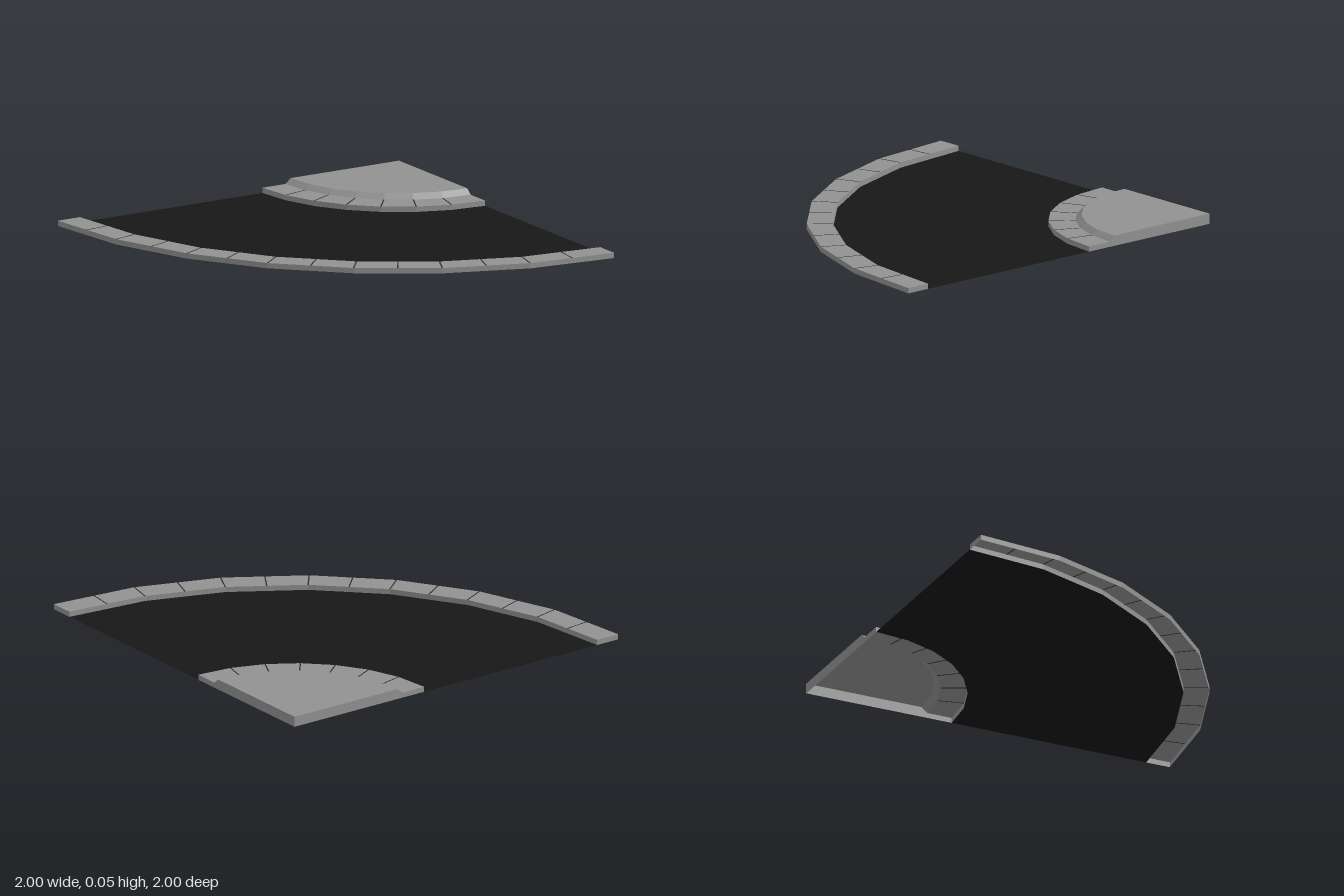
import * as THREE from 'three';

const SEGMENTS = 7;
const KERB = 0.027; // kerb height
const TOP = 0.053; // pavement height

const material = (color) =>
  new THREE.MeshStandardMaterial({ color, flatShading: true, side: THREE.DoubleSide });

// Corners of the unit quarter turn (x, z), spaced along a rounded curve
const arc = new THREE.CubicBezierCurve(
  new THREE.Vector2(-1, 0),
  new THREE.Vector2(-1, 0.5523),
  new THREE.Vector2(-0.5523, 1),
  new THREE.Vector2(0, 1)
).getPoints(SEGMENTS);

export function createModel() {
  const model = new THREE.Group();
  model.name = 'roadCorner';
  const grey = material(0x919191);
  const asphalt = material(0x171717);
  const dark = material(0x303030);

  // Everything turns about the corner at x = 1, z = -1
  const corner = new THREE.Group();
  corner.name = 'cornerPieces';
  corner.position.set(1, 0, -1);
  model.add(corner);

  const add = (name, geometry, mat, parent = corner) => {
    const mesh = new THREE.Mesh(geometry, mat);
    mesh.name = name;
    parent.add(mesh);
    return mesh;
  };
  const points = (profile) => profile.map(([r, y]) => new THREE.Vector2(r, y));

  // Quarter turn of a [radius, height] profile, with its rows moved onto the arc corners
  const sweep = (name, profile, mat) => {
    const geometry = new THREE.LatheGeometry(points(profile), SEGMENTS, -Math.PI / 2, Math.PI / 2);
    const position = geometry.attributes.position;
    arc.forEach((p, i) => {
      profile.forEach(([r, y], j) => {
        position.setXYZ(i * profile.length + j, p.x * r, y, p.y * r);
      });
    });
    add(name, geometry, mat);
  };

  // Flat walls closing both straight ends
  const endWalls = (name, outline) => {
    for (const turn of [Math.PI, -Math.PI / 2]) {
      add(name, new THREE.ShapeGeometry(new THREE.Shape(points(outline))).rotateY(turn), grey);
    }
  };

  // Thin dark joints between kerb stones, at arc corners or halfway along a straight side
  const joints = (name, inner, outer, stones) => {
    const group = new THREE.Group();
    group.name = name;
    corner.add(group);
    for (let i = 1; i < stones; i++) {
      const t = (i / stones) * SEGMENTS;
      const p = arc[Math.floor(t)].clone().lerp(arc[Math.ceil(t)], t % 1);
      const scale = p.length();
      const strip = new THREE.BoxGeometry((outer - inner) * scale, 0.0006, 0.007);
      strip.translate(((inner + outer) / 2) * scale, 0, 0).rotateY(Math.atan2(-p.y, p.x));
      add('joint', strip, dark, group).position.y = KERB;
    }
  };

  // Road surface
  sweep('road', [[1.87, 0], [0.8, 0]], asphalt);

  // Outer kerb
  sweep('outerKerb', [[2, 0], [2, KERB], [1.87, KERB], [1.87, 0]], grey);
  endWalls('outerKerbEnd', [[1.87, 0], [2, 0], [2, KERB], [1.87, KERB]]);
  joints('outerKerbJoints', 1.87, 2, SEGMENTS * 2);

  // Inner kerb
  sweep('innerKerb', [[0.8, 0], [0.8, KERB], [0.665, KERB]], grey);
  endWalls('innerKerbEnd', [[0.665, 0], [0.8, 0], [0.8, KERB], [0.665, KERB]]);
  joints('innerKerbJoints', 0.665, 0.8, SEGMENTS);

  // Raised pavement with bevelled edge
  sweep('pavement', [[0.665, KERB], [0.635, TOP], [0, TOP]], grey);
  endWalls('pavementEnd', [[0, 0], [0.665, 0], [0.665, KERB], [0.635, TOP], [0, TOP]]);

  return model;
}
